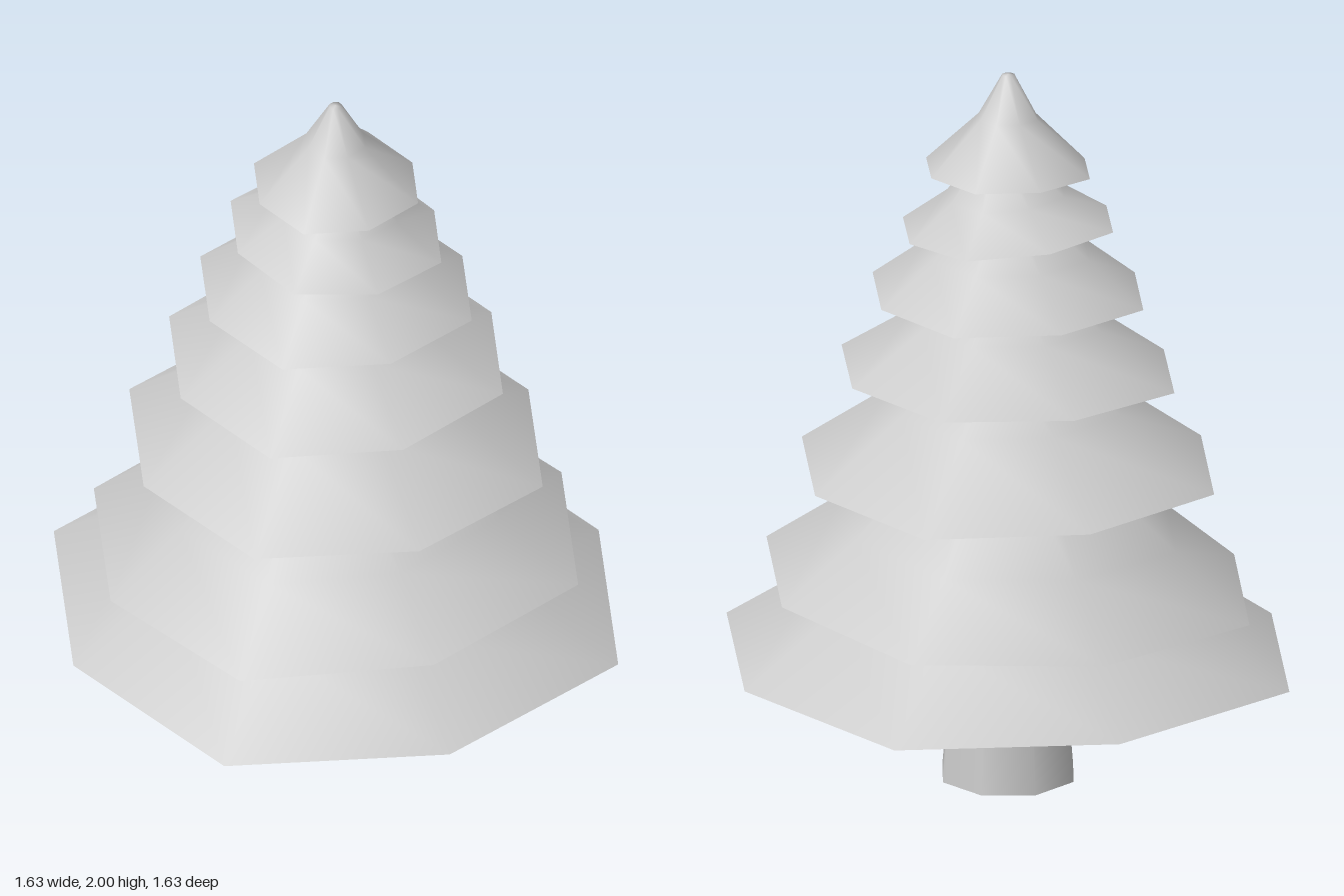
import * as THREE from 'three';

const material = new THREE.MeshStandardMaterial({ color: 0xcccccc, side: THREE.DoubleSide });

// Pull the diagonal corners of an eight-sided skirt slightly inwards
function squeezeDiagonals(geometry, factor) {
  const p = geometry.attributes.position;
  for (let i = 0; i < p.count; i++) {
    const x = p.getX(i), z = p.getZ(i);
    if (Math.min(Math.abs(x), Math.abs(z)) > 1e-4) p.setXYZ(i, x * factor, p.getY(i), z * factor);
  }
}

// Open skirt of branches; profile is [radius, height above rim], rim first
function makeTier({ name, y, profile, tiltX = 0, tiltZ = 0 }) {
  const points = profile.map(([r, h]) => new THREE.Vector2(r, h));
  const geometry = new THREE.LatheGeometry(points, 8);
  squeezeDiagonals(geometry, 0.943);
  const tier = new THREE.Mesh(geometry, material);
  tier.name = name;
  tier.position.y = y;
  tier.rotation.set(tiltX, 0, tiltZ);
  return tier;
}

// Bottom to top; each skirt narrows until it meets the trunk
const tiers = [
  { name: 'branchTier1', y: 0.345, profile: [[0.815, 0], [0.52, 0.2], [0.14, 0.53]] },
  { name: 'branchTier2', y: 0.55, tiltZ: 0.043, profile: [[0.7, 0], [0.48, 0.17], [0.14, 0.51]] },
  { name: 'branchTier3', y: 0.88, tiltX: -0.012, profile: [[0.597, 0], [0.33, 0.19], [0.11, 0.39]] },
  { name: 'branchTier4', y: 1.157, tiltX: 0.026, tiltZ: 0.005, profile: [[0.482, 0], [0.265, 0.145], [0.08, 0.32]] },
  { name: 'branchTier5', y: 1.38, profile: [[0.392, 0], [0.235, 0.12], [0.06, 0.29]] },
  { name: 'branchTier6', y: 1.57, tiltZ: -0.066, profile: [[0.305, 0], [0.17, 0.09], [0.05, 0.23]] },
  { name: 'treeTop', y: 1.732, tiltX: 0.03, tiltZ: -0.008, profile: [[0.237, 0], [0.085, 0.147], [0.018, 0.266], [0, 0.268]] },
];

export function createModel() {
  const tree = new THREE.Group();
  tree.name = 'tree';

  // Tapered trunk running up through all the tiers
  const trunk = new THREE.Mesh(new THREE.CylinderGeometry(0.03, 0.19, 1.85, 8), material);
  trunk.name = 'trunk';
  trunk.position.y = 0.925;
  tree.add(trunk);

  for (const tier of tiers) tree.add(makeTier(tier));
  return tree;
}
